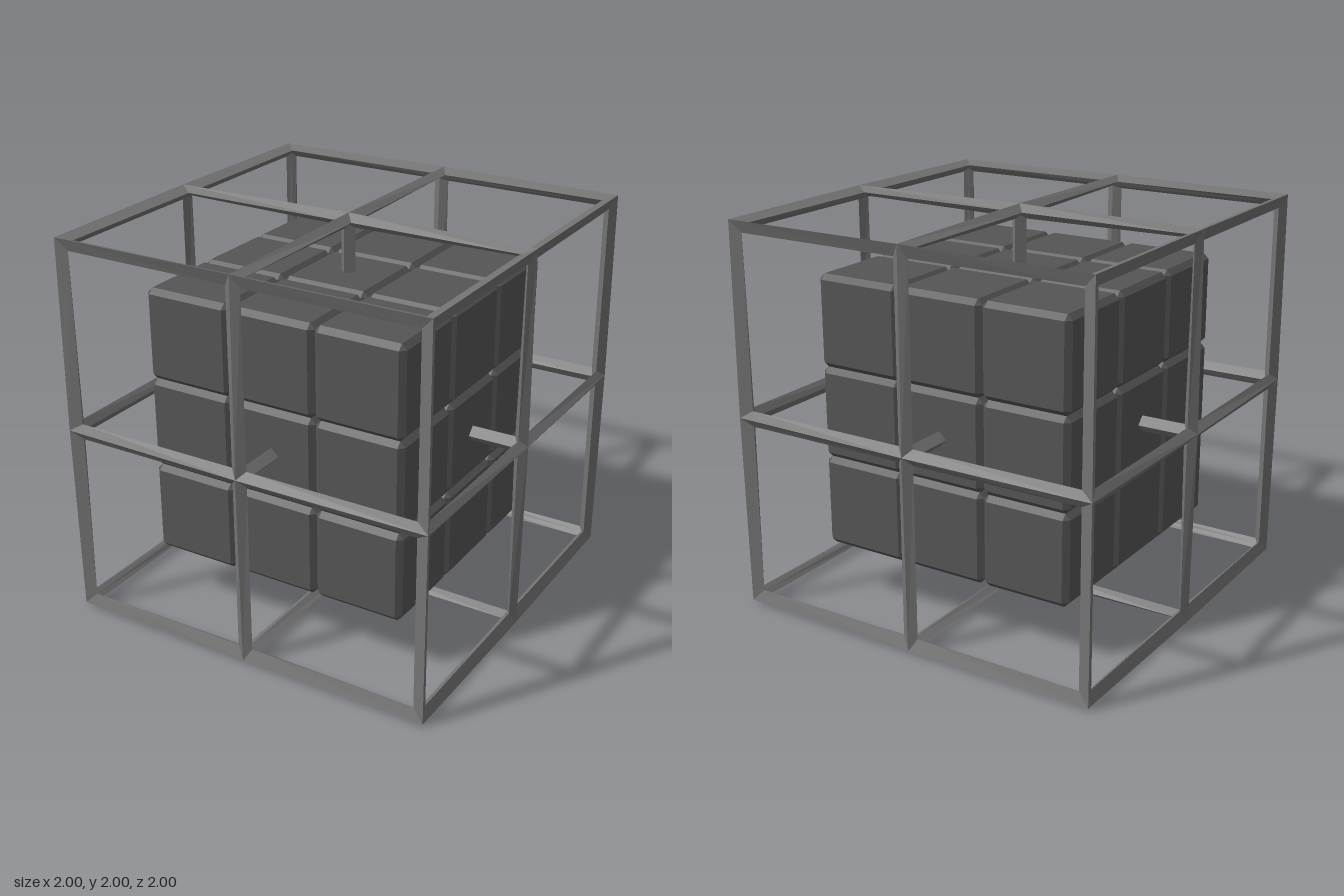
import * as THREE from 'three';
import { ConvexGeometry } from 'three/addons/geometries/ConvexGeometry.js';

const HALF = 0.9645;   // half size of the frame's centre lines
const THICK = 0.0355;  // ridge height of the bars
const INSET = 0.04;    // half width of the bars
const CUBE = 0.469;    // size of one small block
const CHAMFER = 0.027;

// Box with chamfered edges and triangular corners
function chamferedCube(size, c) {
  const a = size / 2, b = a - c, points = [];
  for (const x of [-1, 1]) for (const y of [-1, 1]) for (const z of [-1, 1]) {
    points.push(
      new THREE.Vector3(x * a, y * b, z * b),
      new THREE.Vector3(x * b, y * a, z * b),
      new THREE.Vector3(x * b, y * b, z * a));
  }
  return new ConvexGeometry(points);
}

const axisVec = (axis, s) => new THREE.Vector3().setComponent(axis, s);

// Four-cornered section of a bar at grid node n: ridge, side, inner ridge, side
function section(node, along, sides) {
  const centre = node.clone().multiplyScalar(HALF);
  const out = node.clone().normalize().multiplyScalar(THICK);
  const side = d => centre.clone().addScaledVector(along, INSET).addScaledVector(d, INSET);
  return [centre.clone().add(out), side(sides[0]), centre.clone().sub(out), side(sides[1])];
}

// Mitred bars along every edge of a cube surface split 2 x 2 per face
function frameGeometry() {
  const pos = [];
  const tri = (...pts) => pts.forEach(p => pos.push(p.x, p.y, p.z));
  for (let k = 0; k < 3; k++) {
    const P = (k + 1) % 3, Q = (k + 2) % 3;
    for (const end of [-1, 1]) for (const p of [-1, 0, 1]) for (const q of [-1, 0, 1]) {
      if (!p && !q) continue;
      const a = axisVec(P, p).setComponent(Q, q);
      const b = a.clone().setComponent(k, end);
      const d = axisVec(k, end);
      let sides;
      if (!p) sides = [axisVec(P, 1), axisVec(P, -1)];
      else if (!q) sides = [axisVec(Q, 1), axisVec(Q, -1)];
      else sides = [axisVec(P, -p), axisVec(Q, -q)];
      // keep the section counter-clockwise about the bar direction
      const turn = new THREE.Vector3().crossVectors(sides[0].clone().sub(a), a.clone().negate()).dot(d);
      const ridgeToSide = new THREE.Vector3().crossVectors(a, sides[0]).dot(d);
      if ((Math.abs(ridgeToSide) > 0.01 ? ridgeToSide : turn) < 0) sides.reverse();
      const ra = section(a, d, sides);
      const rb = section(b, d.clone().negate(), sides);
      for (let i = 0; i < 4; i++) {
        const j = (i + 1) % 4;
        tri(ra[i], ra[j], rb[j]);
        tri(ra[i], rb[j], rb[i]);
      }
    }
  }
  const geo = new THREE.BufferGeometry();
  geo.setAttribute('position', new THREE.Float32BufferAttribute(pos, 3));
  geo.computeVertexNormals();
  return geo;
}

export function createModel() {
  const model = new THREE.Group();
  model.name = 'cubeInFrame';
  const blockMat = new THREE.MeshStandardMaterial({ color: 0x555555, flatShading: true });
  const frameMat = new THREE.MeshStandardMaterial({ color: 0x737373, flatShading: true });

  const body = new THREE.Group();
  body.name = 'body';
  body.position.y = 1;
  model.add(body);

  // 3 x 3 x 3 stack of blocks
  const blocks = new THREE.Group();
  blocks.name = 'blocks';
  const blockGeo = chamferedCube(CUBE, CHAMFER);
  for (let x = -1; x <= 1; x++) for (let y = -1; y <= 1; y++) for (let z = -1; z <= 1; z++) {
    const block = new THREE.Mesh(blockGeo, blockMat);
    block.name = 'block';
    block.position.set(x, y, z).multiplyScalar(CUBE);
    blocks.add(block);
  }
  body.add(blocks);

  // Outer wire frame
  const frame = new THREE.Mesh(frameGeometry(), frameMat);
  frame.name = 'frame';
  body.add(frame);

  // Struts from the middle of each frame side into the blocks
  const strutGeo = new THREE.CylinderGeometry(INSET, INSET, 2 * HALF, 4);
  for (let k = 0; k < 3; k++) {
    const strut = new THREE.Mesh(strutGeo, frameMat);
    strut.name = 'strut';
    if (k === 0) strut.rotation.z = Math.PI / 2;
    if (k === 2) strut.rotation.x = Math.PI / 2;
    body.add(strut);
  }
  return model;
}
